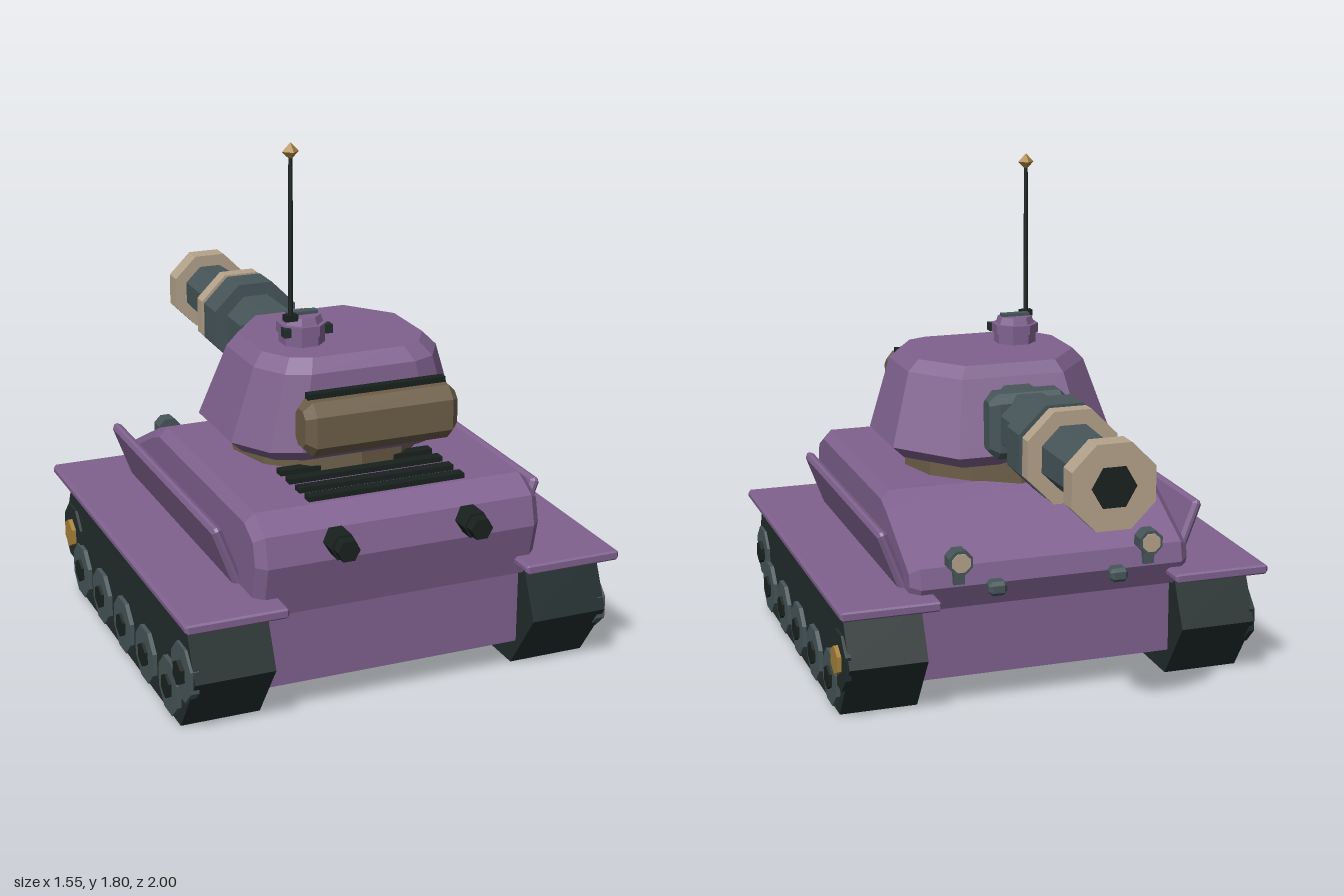
import * as THREE from 'three';

const paint = (name, color) => {
  const m = new THREE.MeshStandardMaterial({ color, flatShading: true });
  m.name = name;
  return m;
};

export function createModel() {
  const purple = paint('purple armour', 0x80628f);
  const track = paint('track rubber', 0x222d2d);
  const slate = paint('slate metal', 0x47565a);
  const brown = paint('brown canvas', 0x6d5e48);
  const beige = paint('beige ring', 0xb5a48c);
  const gold = paint('gold', 0xa8823c);
  const black = paint('black metal', 0x19221f);

  const root = new THREE.Group();
  root.name = 'tank';
  const add = (name, geo, mat, x = 0, y = 0, z = 0) => {
    const m = new THREE.Mesh(geo, mat);
    m.name = name;
    m.position.set(x, y, z);
    root.add(m);
    return m;
  };
  const box = (w, h, d) => new THREE.BoxGeometry(w, h, d);

  // Extrude a [z, y] profile across x, centred, with a chamfer at both ends
  const extrudeX = (pts, width, bevel = 0) => {
    const shape = new THREE.Shape(pts.map(([z, y]) => new THREE.Vector2(-z, y)));
    const g = new THREE.ExtrudeGeometry(shape, {
      depth: width - 2 * bevel, bevelEnabled: bevel > 0, bevelSize: bevel,
      bevelThickness: bevel, bevelOffset: -bevel, bevelSegments: 1,
    });
    g.translate(0, 0, -width / 2 + bevel);
    return g.rotateY(Math.PI / 2);
  };
  // Rectangle profile with corners cut by c
  const cutRect = (d, h, c) => {
    const a = d / 2, b = h / 2;
    return [[-a + c, -b], [a - c, -b], [a, -b + c], [a, b - c], [a - c, b], [-a + c, b], [-a, b - c], [-a, -b + c]];
  };
  // Prism along an axis, r measured to the flats
  const prism = (axis, r0, r1, len, n = 8) => {
    const k = 1 / Math.cos(Math.PI / n);
    const g = new THREE.CylinderGeometry(r1 * k, r0 * k, len, n).rotateY(Math.PI / n);
    if (axis === 'z') g.rotateX(Math.PI / 2);
    if (axis === 'x') g.rotateZ(-Math.PI / 2);
    return g;
  };

  // Hull
  add('lowerHull', box(0.91, 0.31, 1.24), purple, 0, 0.265, 0.23);
  add('upperHull', extrudeX([
    [0.865, 0.37], [0.91, 0.555], [0.885, 0.655], [0.79, 0.705], [-0.07, 0.705],
    [-0.15, 0.675], [-0.44, 0.53], [-0.455, 0.46], [-0.41, 0.37],
  ], 1.015, 0.032), purple);

  // Running gear on both sides
  const trackProfile = [[0.95, 0.22], [0.8, 0.005], [-0.345, 0.005], [-0.495, 0.22], [-0.41, 0.395], [0.87, 0.395]];
  for (const s of [1, -1]) {
    add('track', extrudeX(trackProfile, 0.275), track, s * 0.6025, 0, 0);
    add('fender', extrudeX(cutRect(1.5, 0.034, 0.006), 0.352, 0.01), purple, s * 0.599, 0.423, 0.22);
    const skirt = add('sidePanel', extrudeX(cutRect(1.08, 0.23, 0.01), 0.035, 0.012), purple, s * 0.543, 0.533, 0.19);
    skirt.rotation.z = -s * 0.36;

    const wheels = [[0.84, 0.22], [0.72, 0.115], [0.475, 0.115], [0.23, 0.115], [-0.02, 0.115], [-0.265, 0.115]];
    wheels.forEach(([z, y], i) => {
      add('wheel', prism('x', 0.093, 0.093, 0.03), slate, s * (i ? 0.74 : 0.735), y, z);
      add('wheelHub', prism('x', 0.038, 0.038, 0.04, 6), black, s * 0.745, y, z);
    });
    add('driveWheel', prism('x', 0.1, 0.1, 0.02), track, s * 0.74, 0.22, -0.38);
    add('driveHub', prism('x', 0.046, 0.046, 0.03, 6), gold, s * 0.75, 0.22, -0.38);

    // Exhausts at the rear
    add('exhaust', prism('z', 0.041, 0.041, 0.1, 6), black, s * 0.235, 0.615, 0.91);
    add('exhaustTip', prism('z', 0.034, 0.034, 0.04, 6), black, s * 0.235, 0.615, 0.978);

    // Lamps and tow blocks on the nose
    add('headlamp', prism('z', 0.042, 0.042, 0.055), slate, s * 0.345, 0.553, -0.458);
    add('headlampLens', prism('z', 0.032, 0.032, 0.008), beige, s * 0.345, 0.553, -0.487);
    add('headlampStalk', box(0.04, 0.06, 0.03), slate, s * 0.345, 0.5, -0.45);
    add('towBlock', extrudeX(cutRect(0.06, 0.05, 0.012), 0.065, 0.012), slate, s * 0.22, 0.455, -0.485);
  }

  // Engine vents on the rear deck
  for (const z of [0.755, 0.675, 0.59, 0.51]) add('vent', box(0.56, 0.03, 0.038), black, 0, 0.708, z);

  // Turret: cross-sections stacked from bottom to top
  add('turretRing', new THREE.CylinderGeometry(0.335, 0.335, 0.1, 12), brown, 0, 0.735, 0.23);
  const outline = [[1, 0.75], [1, 0.31], [0.57, 0], [-0.57, 0], [-1, 0.31], [-1, 0.75],
    [-0.8, 0.94], [-0.56, 1], [0.56, 1], [0.8, 0.94]];
  const rings = [ // y, half width, front z, rear z
    [0.765, 0.37, -0.085, 0.565], [0.808, 0.415, -0.125, 0.605],
    [1.065, 0.335, -0.012, 0.575], [1.108, 0.295, 0.015, 0.53],
  ];
  const pos = [], idx = [], n = outline.length;
  for (const [y, w, f, r] of rings) for (const [u, v] of outline) pos.push(u * w, y, f + v * (r - f));
  for (let j = 0; j < rings.length - 1; j++) {
    for (let i = 0; i < n; i++) {
      const a = j * n + i, b = j * n + (i + 1) % n;
      idx.push(a, b, b + n, a, b + n, a + n);
    }
  }
  const top = (rings.length - 1) * n;
  for (let i = 1; i < n - 1; i++) idx.push(0, i + 1, i, top, top + i, top + i + 1);
  const turret = new THREE.BufferGeometry();
  turret.setAttribute('position', new THREE.Float32BufferAttribute(pos, 3));
  turret.setIndex(idx);
  const turretFlat = turret.toNonIndexed();
  turretFlat.computeVertexNormals();
  add('turret', turretFlat, purple);

  // Stowage roll behind the turret
  add('stowageRoll', extrudeX(cutRect(0.145, 0.185, 0.04), 0.545, 0.03), brown, 0, 0.928, 0.683);
  add('stowageStrap', box(0.49, 0.025, 0.03), black, 0, 1.027, 0.672);

  // Cupola
  const cx = -0.13, cz = 0.35;
  add('cupolaBase', prism('y', 0.072, 0.072, 0.06), purple, cx, 1.125, cz);
  add('cupola', prism('y', 0.08, 0.08, 0.035), purple, cx, 1.162, cz);
  add('cupolaLid', prism('y', 0.068, 0.058, 0.03), purple, cx, 1.19, cz);
  add('hatchHandle', box(0.105, 0.016, 0.03), slate, cx, 1.208, cz);
  for (const s of [1, -1]) {
    add('periscope', box(0.025, 0.03, 0.035), track, cx + s * 0.075, 1.16, cz + 0.045);
  }

  // Antenna
  add('antennaBase', box(0.045, 0.022, 0.03), black, -0.185, 1.207, 0.385);
  add('antennaRod', new THREE.CylinderGeometry(0.007, 0.009, 0.57, 6), black, -0.185, 1.48, 0.385);
  add('antennaTip', new THREE.OctahedronGeometry(0.03), gold, -0.185, 1.772, 0.385);

  // Gun, pointing to -z; each section: name, rear z, front z, rear r, front r, colour
  add('mantlet', extrudeX(cutRect(0.125, 0.235, 0.03), 0.29, 0.03), slate, 0, 0.93, -0.152);
  const gun = [
    ['barrelRear', -0.05, -0.43, 0.113, 0.113, slate],
    ['barrelSleeve', -0.42, -0.543, 0.16, 0.16, slate],
    ['barrelNeck', -0.54, -0.58, 0.11, 0.11, slate],
    ['barrelRing', -0.57, -0.624, 0.158, 0.158, beige],
    ['barrelFront', -0.62, -0.93, 0.109, 0.098, slate],
    ['muzzleRing', -0.92, -0.995, 0.142, 0.142, beige],
  ];
  for (const [name, z0, z1, r0, r1, mat] of gun) {
    add(name, prism('z', r1, r0, z0 - z1), mat, 0, 0.93, (z0 + z1) / 2);
  }
  add('bore', prism('z', 0.066, 0.066, 0.009, 6), black, 0, 0.93, -0.9955);

  return root;
}
